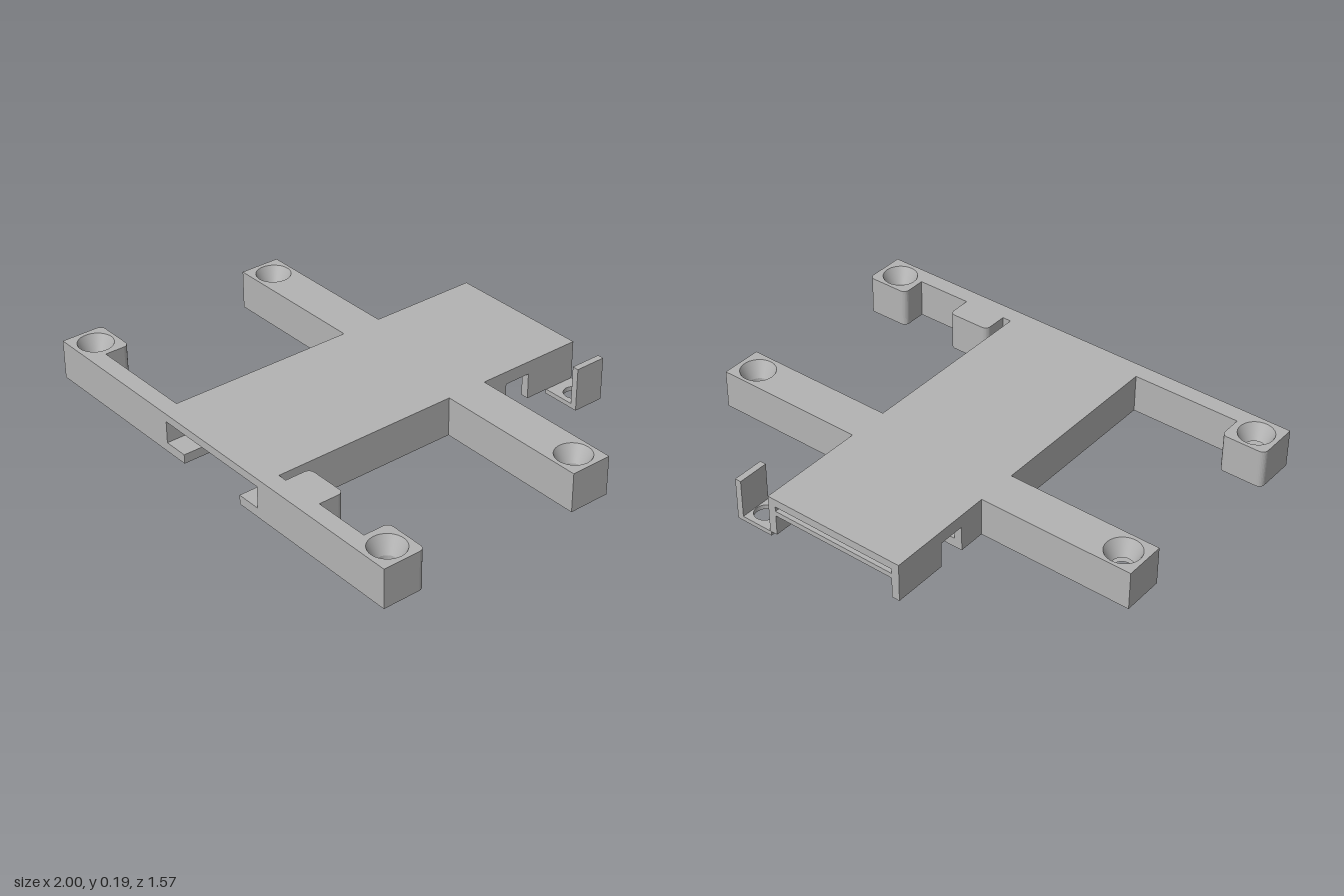
import * as THREE from 'three';

const BOTTOM = 0.02, TOP = 0.19, HALF_LEN = 0.785;
const BORE = 0.042, SINK = 0.075, SINK_Y = 0.12, BLIND_Y = 0.1;

export function createModel() {
  const root = new THREE.Group();
  root.name = 'mountingBracket';
  const grey = new THREE.MeshStandardMaterial({ color: 0xb3b3b3 });
  grey.name = 'plasticGrey';

  const add = (name, geo, parent = root) => {
    const mesh = new THREE.Mesh(geo, grey);
    mesh.name = name;
    parent.add(mesh);
    return mesh;
  };

  // Box given by its limits on each axis
  const box = (name, x0, x1, y0, y1, z0, z1, parent) => {
    const geo = new THREE.BoxGeometry(Math.abs(x1 - x0), y1 - y0, z1 - z0);
    geo.translate((x0 + x1) / 2, (y0 + y1) / 2, (z0 + z1) / 2);
    return add(name, geo, parent);
  };

  // Horizontal slab from a plan outline (x, z), with round holes [x, z, r]
  const slab = (name, outline, holes, y0, y1, parent) => {
    const shape = new THREE.Shape(outline.map(([x, z]) => new THREE.Vector2(x, z)));
    for (const [x, z, r] of holes) {
      const path = new THREE.Path();
      path.absarc(x, z, r, 0, Math.PI * 2, true);
      shape.holes.push(path);
    }
    const geo = new THREE.ExtrudeGeometry(shape, { depth: y1 - y0, bevelEnabled: false, curveSegments: 20 });
    geo.rotateX(Math.PI / 2).translate(0, y1, 0);
    return add(name, geo, parent);
  };

  // Arm with one countersunk screw hole and, if wanted, a blind hole from below
  const arm = (name, outline, screw, blind) => {
    const group = new THREE.Group();
    group.name = name;
    root.add(group);
    const bore = [...screw, BORE];
    const low = blind ? [bore, [...blind, BORE]] : [bore];
    slab('armLower', outline, low, BOTTOM, BLIND_Y, group);
    slab('armMiddle', outline, [bore], BLIND_Y, SINK_Y, group);
    slab('armUpper', outline, [[...screw, SINK]], SINK_Y, TOP, group);
    const cone = new THREE.LatheGeometry(
      [new THREE.Vector2(SINK, TOP), new THREE.Vector2(BORE, SINK_Y)], 40);
    cone.translate(screw[0], 0, screw[1]);
    add('countersink', cone, group);
  };

  // Rounded pad corners facing the back: points from x = a to x = b at depth z
  const padEdge = (a, b, z, r = 0.025) => {
    const pts = [];
    const d = Math.sign(b - a);
    for (let i = 0; i <= 6; i++) {
      const t = (i / 6) * Math.PI / 2;
      pts.push([a + d * r * (1 - Math.cos(t)), z + r * (1 - Math.sin(t))]);
    }
    for (let i = 0; i <= 6; i++) {
      const t = (i / 6) * Math.PI / 2;
      pts.push([b - d * r * (1 - Math.sin(t)), z + r * (1 - Math.cos(t))]);
    }
    return pts;
  };

  // Central channel roof and the thin shelf below it at the back
  box('channelRoof', -0.32, 0.32, 0.155, TOP, -HALF_LEN, HALF_LEN);
  box('rearShelf', -0.286, 0.286, 0.112, 0.134, -HALF_LEN, -0.54);

  for (const s of [1, -1]) {
    const side = s > 0 ? 'left' : 'right';

    // Channel walls, notched near the back, with an inward lip
    box(side + 'WallFront', s * 0.285, s * 0.32, BOTTOM, 0.155, -0.42, HALF_LEN);
    box(side + 'WallOverNotch', s * 0.285, s * 0.32, 0.133, 0.155, -0.54, -0.42);
    box(side + 'WallRear', s * 0.285, s * 0.32, BOTTOM, 0.155, -HALF_LEN, -0.54);
    box(side + 'ChannelLip', s * 0.175, s * 0.285, BOTTOM, 0.06, -0.42, HALF_LEN);

    // Rear arm
    arm(side + 'RearArm',
      [[0.32, -0.3], [1, -0.3], [1, -0.118], [0.32, -0.118]].map(([x, z]) => [s * x, z]),
      [s * 0.905, -0.21], s > 0 ? [0.46, -0.21] : null);

    // Front arm with its end pad; the left one has an extra pad
    const extra = s > 0 ? [[0.36, 0.71], ...padEdge(0.36, 0.555, 0.598), [0.555, 0.71]] : [];
    const outline = [[0.32, 0.71], ...extra, [0.803, 0.71], ...padEdge(0.803, 1, 0.598),
      [1, HALF_LEN], [0.32, HALF_LEN]].map(([x, z]) => [s * x, z]);
    arm(side + 'FrontArm', outline, [s * 0.905, 0.69], s > 0 ? [0.457, 0.69] : null);
  }

  // Small L-shaped cable bracket at the back
  slab('cableBracketFoot',
    [[0.315, -HALF_LEN], [0.488, -HALF_LEN], [0.488, -0.645], [0.315, -0.645]],
    [[0.41, -0.715, 0.046]], 0, BOTTOM);
  box('cableBracketUpright', 0.46, 0.488, BOTTOM, TOP, -HALF_LEN, -0.645);

  return root;
}
